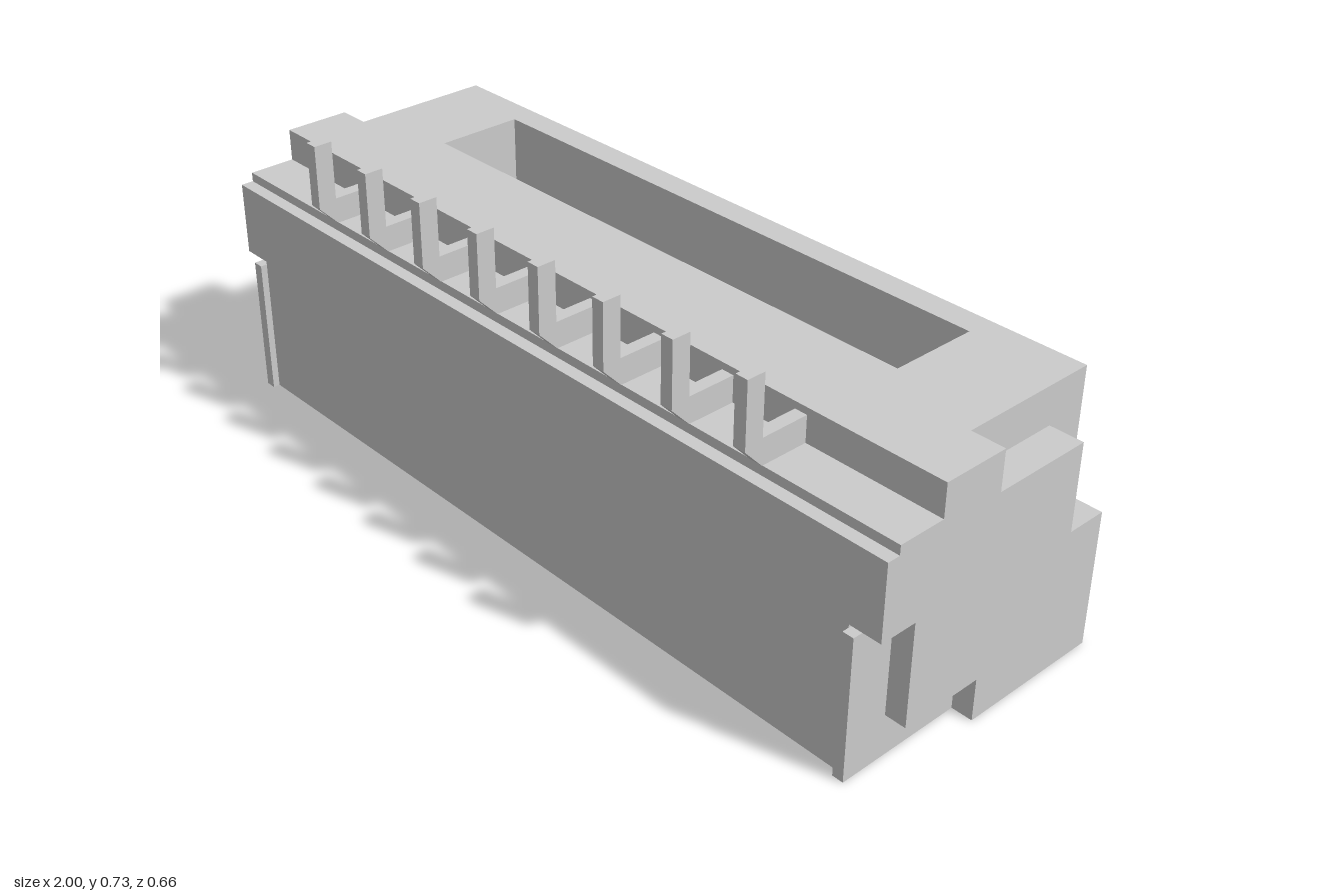
import * as THREE from 'three';

const material = new THREE.MeshStandardMaterial({ color: 0xcccccc, flatShading: true });

// Boxes are [x0, x1, y0, y1, z0, z1]
const mirrorX = ([x0, x1, ...rest]) => [-x1, -x0, ...rest];

// Surface of a box with smaller boxes cut out of it
function carvedBox(block, cuts) {
  const boxes = [block, ...cuts];
  const ticks = [0, 1, 2].map((a) =>
    [...new Set(boxes.flatMap((b) => [b[2 * a], b[2 * a + 1]]))].sort((p, q) => p - q));
  const inside = (b, p) => p.every((v, a) => v > b[2 * a] && v < b[2 * a + 1]);
  const solid = (cell) => {
    if (cell.some((i, a) => i < 0 || i >= ticks[a].length - 1)) return false;
    const mid = cell.map((i, a) => (ticks[a][i] + ticks[a][i + 1]) / 2);
    return inside(block, mid) && !cuts.some((c) => inside(c, mid));
  };

  const positions = [];
  const addFace = (cell, axis, side) => {
    const b = (axis + 1) % 3, c = (axis + 2) % 3;
    const corner = (db, dc) => {
      const p = [];
      p[axis] = ticks[axis][cell[axis] + side];
      p[b] = ticks[b][cell[b] + db];
      p[c] = ticks[c][cell[c] + dc];
      return p;
    };
    const q = [corner(0, 0), corner(1, 0), corner(1, 1), corner(0, 1)];
    if (side === 0) q.reverse();
    for (const k of [0, 1, 2, 0, 2, 3]) positions.push(...q[k]);
  };

  for (let i = 0; i < ticks[0].length - 1; i++)
    for (let j = 0; j < ticks[1].length - 1; j++)
      for (let k = 0; k < ticks[2].length - 1; k++) {
        const cell = [i, j, k];
        if (!solid(cell)) continue;
        for (let axis = 0; axis < 3; axis++)
          for (const side of [0, 1]) {
            const next = [...cell];
            next[axis] += side ? 1 : -1;
            if (!solid(next)) addFace(cell, axis, side);
          }
      }

  const geometry = new THREE.BufferGeometry();
  geometry.setAttribute('position', new THREE.Float32BufferAttribute(positions, 3));
  geometry.computeVertexNormals();
  return geometry;
}

// Side profile of [z, y] points, given a width and centred along x
function sideProfile(points, width) {
  const shape = new THREE.Shape(points.map(([z, y]) => new THREE.Vector2(-z, y)));
  const geometry = new THREE.ExtrudeGeometry(shape, { depth: width, bevelEnabled: false });
  geometry.translate(0, 0, -width / 2);
  geometry.rotateY(Math.PI / 2);
  return geometry;
}

export function createModel() {
  const group = new THREE.Group();
  const add = (name, geometry, x = 0, y = 0, z = 0) => {
    const mesh = new THREE.Mesh(geometry, material);
    mesh.name = name;
    mesh.position.set(x, y, z);
    group.add(mesh);
  };

  // Housing: stepped front edge, through slot, lower pocket
  const middleCuts = [
    [-1, 1, 0.514, 0.612, 0.282, 0.312],
    [-1, 1, 0.536, 0.612, 0.17, 0.312],
    [-0.693, 0.693, 0, 0.612, -0.265, -0.055],
    [-0.84, 0.84, 0, 0.45, -0.01, 0.23],
  ];
  // End cuts: upper rear steps, lower front tab recess, pocket corners
  const endCuts = [
    [0.922, 1, 0.52, 0.612, -0.23, 0.012],
    [0.922, 1, 0.318, 0.612, -0.328, -0.23],
    [0.925, 1, 0, 0.34, 0.222, 0.312],
    [0.925, 1, 0, 0.099, 0.02, 0.222],
    [0.768, 0.84, 0, 0.45, -0.09, -0.01],
  ];
  add('housing', carvedBox([-1, 1, 0, 0.612, -0.328, 0.312],
    [...middleCuts, ...endCuts, ...endCuts.map(mirrorX)]));

  // Latch ledge inside the through slot
  add('latchLedge', new THREE.BoxGeometry(1.044, 0.1, 0.056), 0, 0.15, -0.083);

  // L-shaped solder tabs in the end recesses
  const tab = sideProfile([[0.02, 0], [0.328, 0], [0.328, 0.333], [0.222, 0.333],
    [0.222, 0.099], [0.02, 0.099]], 0.026);
  add('leftSolderTab', tab, 0.938);
  add('rightSolderTab', tab, -0.938);

  // Row of bent contact pins
  const pin = sideProfile([[0.16, 0.536], [0.283, 0.536], [0.328, 0.583], [0.328, 0.733],
    [0.284, 0.733], [0.284, 0.596], [0.16, 0.596]], 0.03);
  for (let i = 0; i < 8; i++) add(`pin${i + 1}`, pin, (i - 3.5) * 0.1885);

  return group;
}
